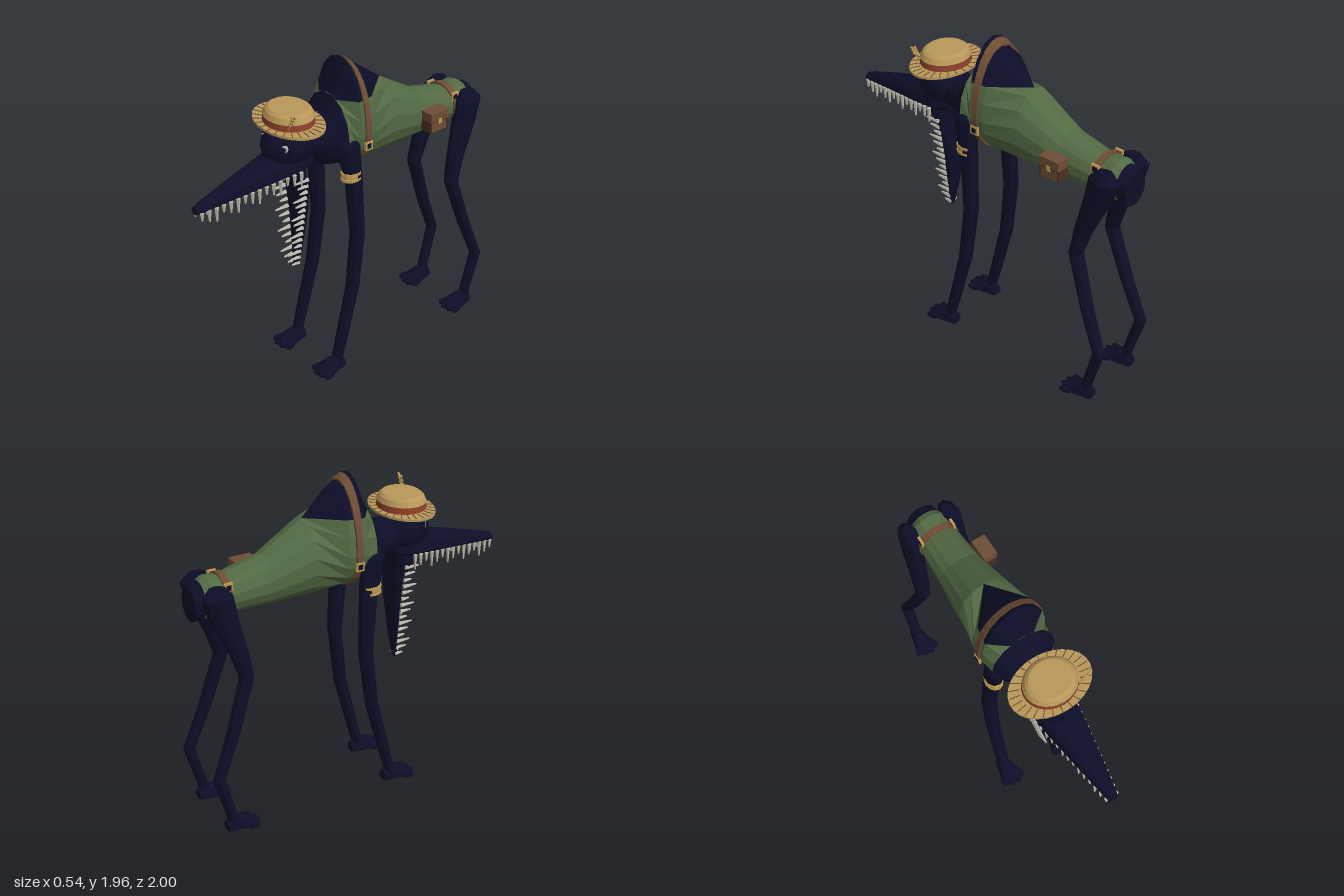
import * as THREE from 'three';

const mat = (name, color, side = THREE.FrontSide) => {
  const m = new THREE.MeshStandardMaterial({ color, side });
  m.name = name;
  return m;
};
const navy = mat('navy hide', 0x0d0d28, THREE.DoubleSide);
const green = mat('green vest', 0x536a44, THREE.DoubleSide);
const brown = mat('brown leather', 0x6e4d35);
const darkBrown = mat('dark leather', 0x4a3023);
const straw = mat('straw', 0xb8975a);
const red = mat('rust ribbon', 0x8a3f26);
const gold = mat('brass', 0xc39a52);
const bone = mat('bone', 0xbdb9ac);

const V = (x, y, z) => new THREE.Vector3(x, y, z);

// Faceted mesh
function add(parent, name, geo, material, pos = [0, 0, 0], rot = [0, 0, 0], scale = [1, 1, 1]) {
  const g = geo.index ? geo.toNonIndexed() : geo;
  g.computeVertexNormals();
  const m = new THREE.Mesh(g, material);
  m.name = name;
  m.position.set(...pos);
  m.rotation.set(...rot);
  m.scale.set(...scale);
  parent.add(m);
  return m;
}

// Skin over a list of point rings, optionally capped
function loft(rings, caps = true) {
  const out = [];
  const tri = (...ps) => ps.forEach(p => out.push(p.x, p.y, p.z));
  for (let i = 0; i < rings.length - 1; i++)
    for (let j = 0; j < rings[i].length - 1; j++) {
      const a = rings[i][j], b = rings[i][j + 1], c = rings[i + 1][j], d = rings[i + 1][j + 1];
      tri(a, c, b);
      tri(b, c, d);
    }
  if (caps) [rings[0], rings[rings.length - 1]].forEach((r, end) => {
    const n = r.length - 1, c = V(0, 0, 0);
    for (let j = 0; j < n; j++) c.addScaledVector(r[j], 1 / n);
    for (let j = 0; j < n; j++) end ? tri(c, r[j + 1], r[j]) : tri(c, r[j], r[j + 1]);
  });
  const g = new THREE.BufferGeometry();
  g.setAttribute('position', new THREE.Float32BufferAttribute(out, 3));
  return g;
}

// Ring facing z with separate upper and lower heights
function ringZ([z, yc, w, up, down], n = 14, a0 = 0, a1 = Math.PI * 2, x = 0, grow = 0) {
  return Array.from({ length: n + 1 }, (_, j) => {
    const a = a0 + (a1 - a0) * j / n, s = Math.sin(a);
    return V(x + (w + grow) * Math.cos(a), yc + ((s > 0 ? up : down) + grow) * s, z);
  });
}
// Ring facing y, for limbs listed from top to bottom
const ringY = ([x, y, z, rx, rz], n = 9) => Array.from({ length: n + 1 }, (_, j) => {
  const a = Math.PI * 2 * j / n;
  return V(x + rx * Math.cos(a), y, z - rz * Math.sin(a));
});

// Body stations: z, centre y, half width, height above, height below
const BODY = [
  [0.18, 1.49, 0.12, 0.13, 0.14], [0.13, 1.5, 0.165, 0.16, 0.17], [0.08, 1.52, 0.19, 0.24, 0.2],
  [0, 1.54, 0.205, 0.42, 0.235], [-0.1, 1.53, 0.203, 0.36, 0.23], [-0.3, 1.5, 0.17, 0.24, 0.21],
  [-0.56, 1.43, 0.135, 0.15, 0.14], [-0.8, 1.41, 0.12, 0.11, 0.115], [-0.9, 1.41, 0.12, 0.12, 0.12],
  [-0.94, 1.4, 0.1, 0.11, 0.11], [-1, 1.38, 0.09, 0.1, 0.1],
];
function bodyAt(z) {
  const i = Math.max(1, BODY.findIndex(s => s[0] <= z));
  const a = BODY[i - 1], b = BODY[i], t = (a[0] - z) / (a[0] - b[0]);
  return a.map((v, k) => v + (b[k] - v) * t);
}

function addBody(root) {
  const edge = s => Math.asin(Math.min(1, (1.74 - s[1]) / s[3]));
  const vest = BODY.slice(2, 10);
  add(root, 'vest', loft(vest.map(s => ringZ(s, 14, Math.PI - edge(s), Math.PI * 2 + edge(s))), false), green);
  add(root, 'hump', loft(BODY.slice(2, 6).map(s => ringZ(s, 6, edge(s), Math.PI - edge(s))), false), navy);
  add(root, 'chest', loft(BODY.slice(0, 3).map(s => ringZ(s))), navy);
  add(root, 'rump', loft(BODY.slice(9).map(s => ringZ(s))), navy);

  // Straps with a buckle on each side
  for (const [z, by] of [[-0.045, 1.465], [-0.81, 1.48]]) {
    const strap = [[0.02, -0.01], [0.02, 0.009], [-0.02, 0.009], [-0.02, -0.01]];
    add(root, 'strap', loft(strap.map(([dz, g]) => ringZ(bodyAt(z + dz), 28, 0, Math.PI * 2, 0, g)), false), brown);
    const [, yc, w, up, down] = bodyAt(z), h = by - yc;
    const bx = w * Math.sqrt(1 - (h / (h > 0 ? up : down)) ** 2) + 0.012;
    for (const s of [1, -1]) {
      add(root, 'buckle', new THREE.BoxGeometry(0.014, 0.052, 0.052), gold, [s * bx, by, z]);
      add(root, 'buckleCentre', new THREE.BoxGeometry(0.018, 0.03, 0.03), navy, [s * bx, by, z]);
    }
  }

  // Side pouch
  const pouch = new THREE.Group();
  pouch.name = 'pouch';
  pouch.position.set(0.175, 1.435, -0.583);
  root.add(pouch);
  add(pouch, 'pouchBody', new THREE.BoxGeometry(0.075, 0.12, 0.125), brown);
  add(pouch, 'pouchFlap', new THREE.BoxGeometry(0.085, 0.055, 0.135), brown, [0.002, 0.036, 0]);
  add(pouch, 'flapSeam', new THREE.BoxGeometry(0.083, 0.008, 0.132), darkBrown, [0.001, 0.006, 0]);
  for (const s of [1, -1])
    add(pouch, 'pouchTrim', new THREE.BoxGeometry(0.08, 0.122, 0.01), darkBrown, [0, 0, s * 0.062]);
  add(pouch, 'clasp', new THREE.BoxGeometry(0.008, 0.03, 0.024), gold, [0.045, 0.008, 0]);
}

function addHead(root) {
  const head = new THREE.Group();
  head.name = 'head';
  root.add(head);
  add(head, 'neck', loft([[0.32, 1.53, 0.1, 0.1, 0.1], [0.12, 1.51, 0.13, 0.13, 0.13]].map(s => ringZ(s))), navy);
  add(head, 'skull', new THREE.SphereGeometry(1, 14, 10), navy, [0, 1.54, 0.365], [0, 0, 0], [0.135, 0.135, 0.165]);
  const snout = [[1, 1.35, 0.027, 0.025, 0.02], [0.96, 1.355, 0.038, 0.037, 0.022], [0.75, 1.38, 0.075, 0.072, 0.02],
    [0.52, 1.405, 0.113, 0.105, 0.02], [0.36, 1.425, 0.13, 0.14, 0.03], [0.26, 1.44, 0.1, 0.1, 0.05]];
  add(head, 'snout', loft(snout.map(s => ringZ(s, 12))), navy);

  // Hanging lower jaw
  const jaw = [[0, 1.41, 0.36, 0.115, 0.08], [0, 1.35, 0.345, 0.118, 0.06], [0, 1.26, 0.305, 0.105, 0.033],
    [0, 1.1, 0.3, 0.082, 0.03], [0, 0.85, 0.312, 0.042, 0.024], [0, 0.72, 0.326, 0.018, 0.014]];
  add(head, 'lowerJaw', loft(jaw.map(s => ringY(s, 12))), navy);

  // Two rows of teeth per jaw
  for (const s of [1, -1])
    for (let i = 0; i < 15; i++) {
      const t = i / 14, len = 0.07 + 0.02 * ((i * 7) % 3 - 1);
      const z = 0.975 - 0.6 * t;
      add(head, 'upperTooth', new THREE.CylinderGeometry(0.013, 0.005, len, 5), bone,
        [s * (0.032 + 0.098 * t), 1.345 + 0.07 * t - len / 2, z]);
      const y = 0.74 + 0.6 * t;
      add(head, 'lowerTooth', new THREE.CylinderGeometry(0.005, 0.013, len, 5), bone,
        [s * (0.02 + 0.095 * t), y, 0.317 + len / 2], [Math.PI / 2, 0, 0]);
    }

  // Eyes
  for (const s of [1, -1]) {
    const eye = new THREE.Group();
    eye.name = 'eye';
    eye.position.set(s * 0.088, 1.573, 0.452);
    eye.rotation.y = s * 0.55;
    head.add(eye);
    add(eye, 'socket', new THREE.TorusGeometry(0.034, 0.012, 6, 14), navy);
    add(eye, 'iris', new THREE.CylinderGeometry(0.021, 0.024, 0.02, 12), bone, [0, 0, 0.005], [Math.PI / 2, 0, 0]);
    add(eye, 'pupil', new THREE.CylinderGeometry(0.011, 0.011, 0.006, 8), navy, [0, 0, 0.015], [Math.PI / 2, 0, 0]);
  }
}

function addHat(root) {
  const hat = new THREE.Group();
  hat.name = 'hat';
  hat.position.set(0, 1.67, 0.355);
  root.add(hat);
  const disc = (name, top, bottom, y0, y1, m, zs) =>
    add(hat, name, new THREE.CylinderGeometry(top, bottom, y1 - y0, 26), m, [0, (y0 + y1) / 2, 0], [0, 0, 0], [1, 1, zs]);
  disc('brim', 0.245, 0.245, 0, 0.014, straw, 0.7);
  disc('ribbon', 0.152, 0.16, 0.014, 0.052, red, 0.87);
  disc('crown', 0.142, 0.158, 0.052, 0.082, straw, 0.87);
  disc('crownTop', 0.122, 0.142, 0.082, 0.096, straw, 0.87);
  // Radial stitches on the brim
  for (let i = 0; i < 26; i++) {
    const a = i / 26 * Math.PI * 2, x = Math.cos(a) * 0.205, z = Math.sin(a) * 0.205 * 0.72;
    add(hat, 'brimStitch', new THREE.BoxGeometry(0.06, 0.004, 0.005), brown, [x, 0.0145, z],
      [0, Math.atan2(-Math.sin(a) * 0.7, Math.cos(a)), 0]);
  }
  // Wheat sprig tucked in the ribbon
  add(hat, 'sprigStem', new THREE.CylinderGeometry(0.004, 0.004, 0.1, 5), gold, [0.14, 0.075, 0.095], [0, 0, -0.4]);
  for (let i = 0; i < 6; i++)
    add(hat, 'sprigGrain', new THREE.SphereGeometry(1, 6, 5), gold,
      [0.142 + i * 0.005 + (i % 2 ? 0.009 : -0.009), 0.07 + i * 0.011, 0.095],
      [0, 0, i % 2 ? -0.9 : 0.3], [0.008, 0.016, 0.008]);
}

function addLeg(root, s, name, path, footZ) {
  const leg = new THREE.Group();
  leg.name = name;
  root.add(leg);
  add(leg, 'limb', loft(path.map(([x, ...r]) => ringY([s * x, ...r]))), navy);
  // Foot with four toes
  const foot = [[0.155, 0.02, 0.05, 0.025, 0.018], [0.1, 0.02, 0.066, 0.052, 0.018], [0.04, 0.02, 0.052, 0.08, 0.018],
    [-0.025, 0.02, 0.035, 0.05, 0.018]];
  add(leg, 'foot', loft(foot.map(([z, ...r]) => ringZ([z + footZ, ...r], 10, 0, Math.PI * 2, s * 0.19))), navy);
  for (let i = 0; i < 4; i++) {
    const k = i - 1.5;
    add(leg, 'toe', new THREE.SphereGeometry(1, 7, 6), navy,
      [s * 0.19 + k * 0.037, 0.024, footZ + 0.145 - Math.abs(k) * 0.018], [0, k * 0.2, 0], [0.021, 0.023, 0.045]);
  }
}

export function createModel() {
  const root = new THREE.Group();
  root.name = 'longLeggedCreature';
  addBody(root);
  addHead(root);
  addHat(root);

  // Limb stations: x, y, z, half width, half depth
  const front = [[0.15, 1.53, 0.06, 0.03, 0.04], [0.16, 1.49, 0.06, 0.052, 0.075], [0.165, 1.38, 0.05, 0.05, 0.07],
    [0.17, 1.25, 0.03, 0.047, 0.056], [0.178, 0.9, 0.01, 0.05, 0.042], [0.186, 0.55, 0.05, 0.044, 0.04],
    [0.19, 0.18, 0.145, 0.04, 0.034], [0.19, 0.05, 0.18, 0.036, 0.032]];
  const back = [[0.125, 1.5, -0.89, 0.035, 0.05], [0.135, 1.45, -0.89, 0.06, 0.095], [0.14, 1.32, -0.86, 0.058, 0.085],
    [0.155, 1.1, -0.785, 0.05, 0.056], [0.165, 0.95, -0.75, 0.046, 0.042], [0.185, 0.62, -0.858, 0.042, 0.038],
    [0.2, 0.36, -0.962, 0.036, 0.035], [0.195, 0.1, -0.888, 0.033, 0.032], [0.19, 0.05, -0.885, 0.034, 0.03]];
  for (const s of [1, -1]) {
    addLeg(root, s, 'frontLeg', front, 0.155);
    addLeg(root, s, 'backLeg', back, -0.898);
    // Wrapped cuff
    for (let i = 0; i < 3; i++)
      add(root, 'cuff', new THREE.CylinderGeometry(1, 1, 0.016, 12), i === 1 ? straw : gold,
        [s * 0.167, 1.277 + i * 0.018, 0.048], [0, 0, 0], [i === 1 ? 0.05 : 0.053, 1, i === 1 ? 0.062 : 0.066]);
  }
  return root;
}
